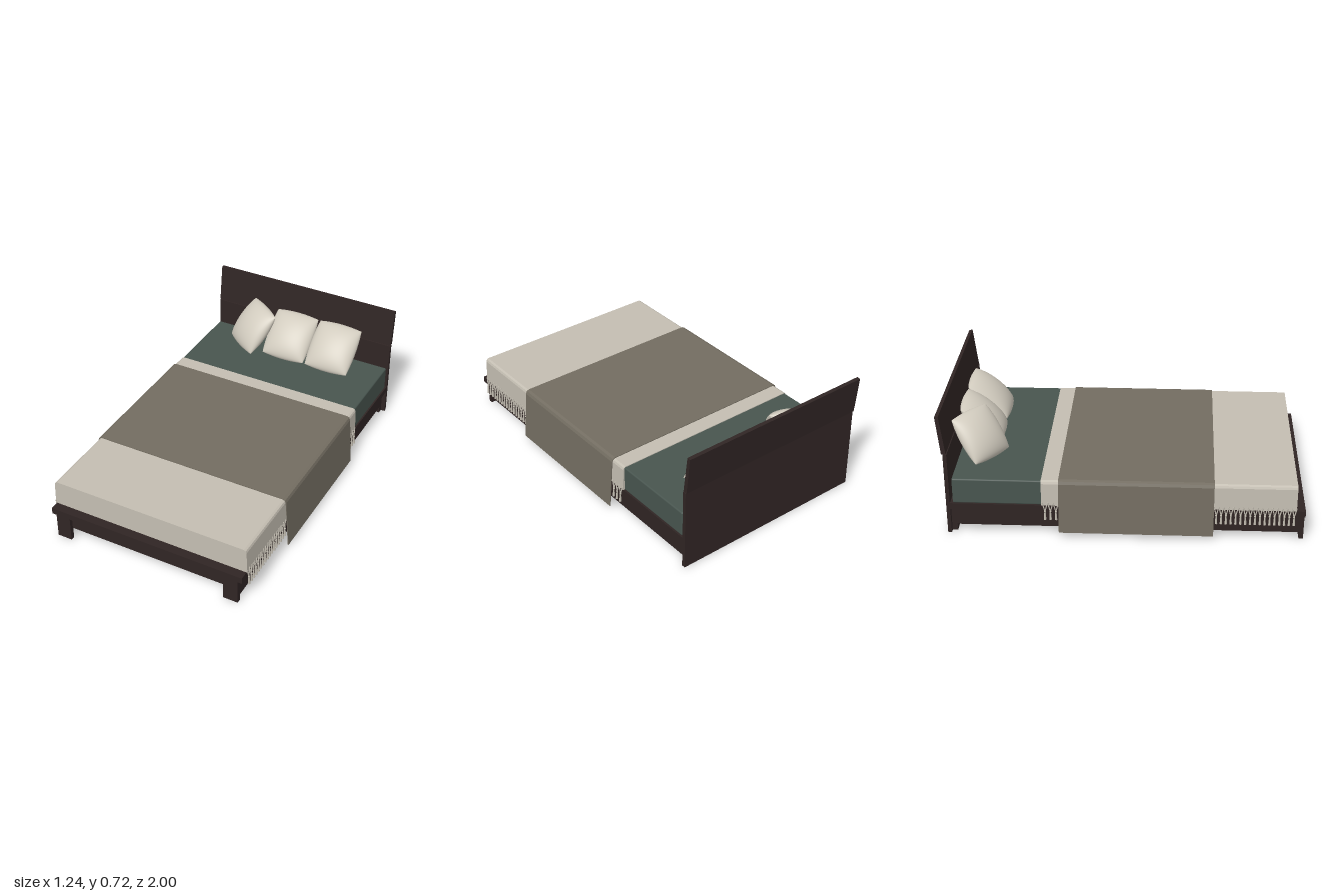
import * as THREE from 'three';
import { mergeGeometries, mergeVertices } from 'three/addons/utils/BufferGeometryUtils.js';
import { RoundedBoxGeometry } from 'three/addons/geometries/RoundedBoxGeometry.js';

const material = (name, color) => {
  const m = new THREE.MeshStandardMaterial({ color });
  m.name = name;
  return m;
};

// Extrude a closed outline of [x, y] points from z0 to z1
function extrude(points, z0, z1) {
  const shape = new THREE.Shape(points.map(([x, y]) => new THREE.Vector2(x, y)));
  return new THREE.ExtrudeGeometry(shape, { depth: z1 - z0, bevelEnabled: false }).translate(0, 0, z0);
}

// Mirror the right half of an outline to close it on the left
const mirrored = (half) => [...half, ...half.map(([x, y]) => [-x, y]).reverse()];

// Thin tapered strand between two points
function strand(a, b, r0, r1) {
  const dir = b.clone().sub(a);
  const q = new THREE.Quaternion().setFromUnitVectors(new THREE.Vector3(0, 1, 0), dir.clone().normalize());
  const mid = a.clone().add(b).multiplyScalar(0.5);
  return new THREE.CylinderGeometry(r1, r0, dir.length(), 5)
    .applyMatrix4(new THREE.Matrix4().compose(mid, q, new THREE.Vector3(1, 1, 1)));
}

// Knotted fringe along one side of the cover
function fringeGeometry(side, z0, z1) {
  const parts = [];
  const count = Math.round((z1 - z0) / 0.027);
  const step = (z1 - z0) / count;
  for (let i = 0; i < count; i++) {
    const z = z0 + (i + 0.5) * step;
    const knot = new THREE.Vector3(side * 0.601, 0.155, z);
    for (const k of [-0.5, 0.5]) {
      parts.push(strand(new THREE.Vector3(side * 0.597, 0.208, z + k * step), knot, 0.0035, 0.0035));
    }
    parts.push(new THREE.SphereGeometry(0.0065, 6, 5).translate(knot.x, knot.y, z));
    parts.push(strand(knot, new THREE.Vector3(side * 0.604, 0.105, z), 0.004, 0.0075));
  }
  return mergeGeometries(parts);
}

// Square cushion: two bulged sheets welded along the seam
function pillowGeometry(w, h, t) {
  const sheets = [1, -1].map((s) => {
    const g = new THREE.PlaneGeometry(2, 2, 24, 24);
    if (s < 0) g.rotateY(Math.PI);
    g.deleteAttribute('normal');
    g.deleteAttribute('uv');
    const p = g.attributes.position;
    for (let i = 0; i < p.count; i++) {
      const u = Math.sin(p.getX(i) * Math.PI / 2);
      const v = Math.sin(p.getY(i) * Math.PI / 2);
      const bulge = Math.pow(Math.max(0, (1 - u * u) * (1 - v * v)), 0.5);
      p.setXYZ(i,
        u * w / 2 * (0.94 + 0.06 * (1 - v * v)),
        v * h / 2 * (0.93 + 0.07 * (1 - u * u)),
        s * t / 2 * bulge);
    }
    return g;
  });
  const g = mergeVertices(mergeGeometries(sheets), 1e-5);
  g.computeVertexNormals();
  return g;
}

export function createModel() {
  const bed = new THREE.Group();
  bed.name = 'bed';
  const wood = material('dark wood', 0x302524);
  const green = material('green sheet', 0x48554f);
  const beige = material('beige cover', 0xc4beb2);
  const taupe = material('taupe throw', 0x736d61);
  const cream = material('cream pillow', 0xd2ccbf);

  const add = (name, geometry, mat) => {
    const mesh = new THREE.Mesh(geometry, mat);
    mesh.name = name;
    bed.add(mesh);
    return mesh;
  };
  // Box given by its extents on each axis
  const box = (name, [x0, x1], [y0, y1], [z0, z1], mat) => {
    const mesh = add(name, new THREE.BoxGeometry(x1 - x0, y1 - y0, z1 - z0), mat);
    mesh.position.set((x0 + x1) / 2, (y0 + y1) / 2, (z0 + z1) / 2);
    return mesh;
  };

  // Frame: platform, rails and legs
  box('platform', [-0.592, 0.592], [0.15, 0.187], [-0.95, 1], wood);
  box('frontRail', [-0.55, 0.55], [0.07, 0.15], [0.95, 0.975], wood);
  box('backRail', [-0.55, 0.55], [0.04, 0.15], [-0.95, -0.925], wood);
  for (const s of [-1, 1]) {
    const span = (a, b) => (s > 0 ? [a, b] : [-b, -a]);
    box('sideRail', span(0.54, 0.567), [0.04, 0.15], [-0.95, 0.975], wood);
    box('frontLeg', span(0.48, 0.567), [0, 0.15], [0.972, 0.997], wood);
    box('backLeg', span(0.48, 0.567), [0, 0.15], [-0.95, -0.92], wood);
  }

  // Headboard: upright lower panel and leaning upper panel
  box('headboardLower', [-0.592, 0.592], [0, 0.488], [-0.971, -0.95], wood);
  const upper = extrude([[-0.953, 0.493], [-0.978, 0.493], [-1, 0.715], [-0.98, 0.718]], -0.592, 0.592);
  add('headboardUpper', upper.rotateY(-Math.PI / 2), wood);
  box('headboardJoint', [-0.585, 0.585], [0.48, 0.5], [-0.969, -0.959], wood);

  // Mattress
  const mattress = add('mattress', new RoundedBoxGeometry(1.17, 0.15, 1.875, 2, 0.008), green);
  mattress.position.set(0, 0.261, 0.002);

  // Cover draped over the mattress, with knotted fringe on both sides
  const coverHalf = [[0.597, 0.19], [0.593, 0.322], [0.588, 0.334], [0.577, 0.34]];
  add('cover', extrude(mirrored(coverHalf), -0.445, 0.95), beige);
  for (const s of [-1, 1]) {
    add('coverFringe', fringeGeometry(s, 0.5, 0.95), beige);
    add('coverFringe', fringeGeometry(s, -0.44, -0.35), beige);
  }

  // Throw hanging over both sides
  const throwHalf = [[0.616, 0.032], [0.595, 0.322], [0.589, 0.336], [0.577, 0.3415]];
  const throwOuter = [[0.577, 0.346], [0.592, 0.34], [0.599, 0.324], [0.621, 0.032]];
  const throwOutline = [
    ...throwHalf, ...throwHalf.map(([x, y]) => [-x, y]).reverse(),
    ...throwOuter.map(([x, y]) => [-x, y]).reverse(), ...throwOuter,
  ];
  add('throw', extrude(throwOutline, -0.35, 0.5), taupe);

  // Pillows leaning on the headboard
  const pillows = [
    { pos: [0.265, 0.447, -0.83], yaw: 0, tilt: -0.84, size: [0.295, 0.315, 0.14] },
    { pos: [-0.027, 0.447, -0.83], yaw: 0, tilt: -0.84, size: [0.295, 0.315, 0.14] },
    { pos: [-0.28, 0.457, -0.812], yaw: -0.63, tilt: -0.66, size: [0.285, 0.3, 0.14] },
  ];
  for (const { pos, yaw, tilt, size } of pillows) {
    const pillow = add('pillow', pillowGeometry(...size), cream);
    pillow.position.set(...pos);
    pillow.rotation.set(tilt, yaw, 0, 'YXZ');
  }
  return bed;
}
